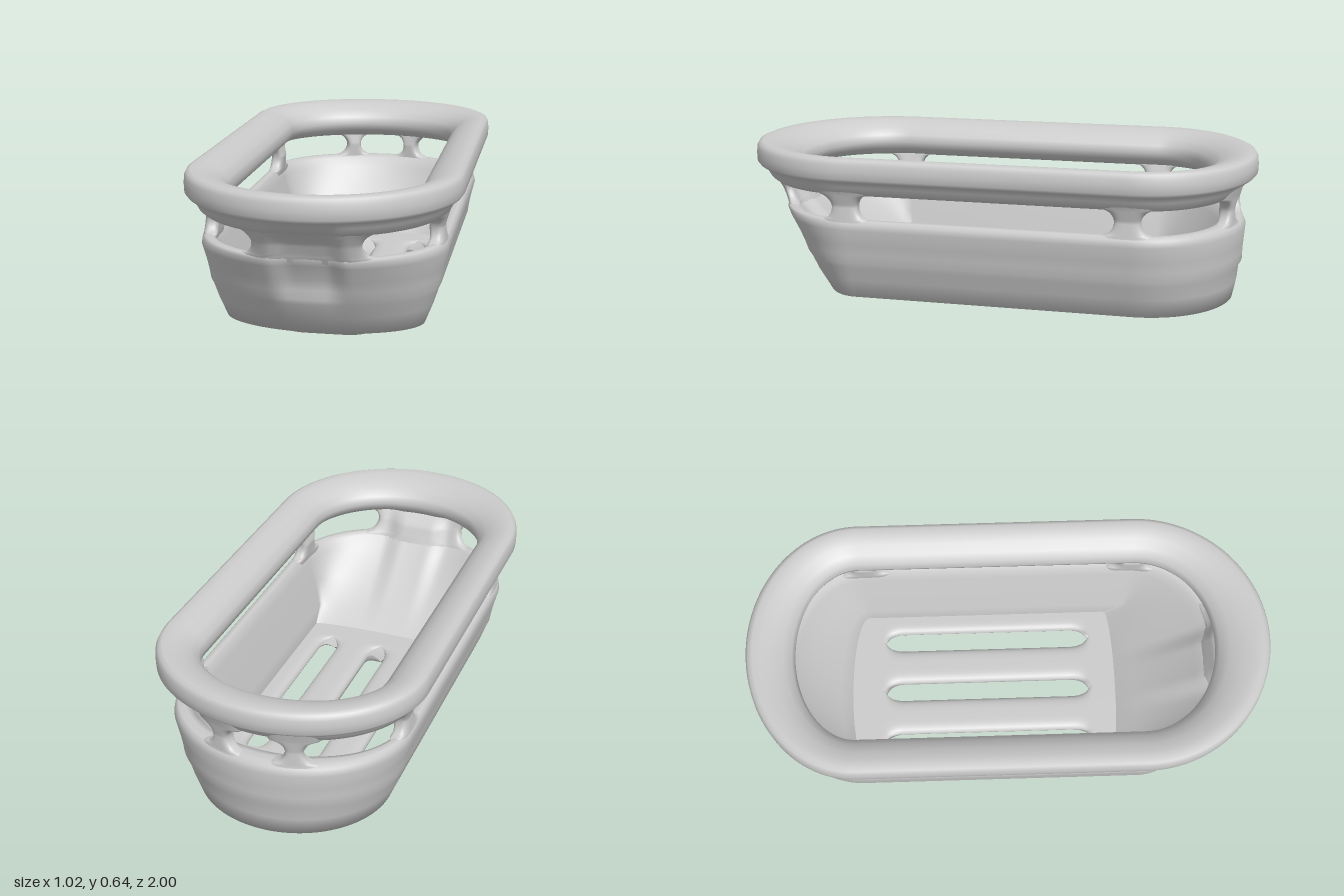
import * as THREE from 'three';

const { lerp, clamp, smoothstep } = THREE.MathUtils;
const material = new THREE.MeshStandardMaterial({ color: 0xcccccc, side: THREE.DoubleSide });

// Surface over an i/j grid; either direction may wrap round
function surface(name, nI, nJ, point, wrapI, wrapJ) {
  const pos = [], index = [];
  for (let i = 0; i < nI; i++) for (let j = 0; j < nJ; j++) pos.push(...point(i, j));
  for (let i = 0; i < (wrapI ? nI : nI - 1); i++) {
    for (let j = 0; j < (wrapJ ? nJ : nJ - 1); j++) {
      const i2 = (i + 1) % nI, j2 = (j + 1) % nJ;
      const a = i * nJ + j, b = i2 * nJ + j, c = i2 * nJ + j2, d = i * nJ + j2;
      index.push(a, b, c, a, c, d);
    }
  }
  const g = new THREE.BufferGeometry();
  g.setAttribute('position', new THREE.Float32BufferAttribute(pos, 3));
  g.setIndex(index);
  g.computeVertexNormals();
  const mesh = new THREE.Mesh(g, material);
  mesh.name = name;
  return mesh;
}

// Oblong outline: u 0-.25 left side, .25-.5 back arc, .5-.75 right side, .75-1 front arc
function plan(u, [y, hw, zf, zb]) {
  u = ((u % 1) + 1) % 1;
  const sf = Math.min(0.5, zf - 0.03), sb = Math.max(-0.58, zb + 0.06);
  const t = (u % 0.25) * 4, a = t * Math.PI;
  if (u < 0.25) return [hw, y, lerp(sf, sb, t)];
  if (u < 0.5) return [hw * Math.cos(a), y, sb + (zb - sb) * Math.sin(a)];
  if (u < 0.75) return [-hw, y, lerp(sb, sf, t)];
  const x = -hw * Math.cos(a);
  // scoop in the middle of the front
  const scoop = (1 - smoothstep(Math.abs(x), 0.06, 0.145))
    * smoothstep(y, 0.18, 0.32) * (1 - smoothstep(y, 0.44, 0.55));
  return [x, y, sf + (zf - sf) * Math.sin(a) - 0.04 * scoop];
}

// Outer skin: height, half width, front z, back z
const HULL = [
  [0.075, 0.37, 0.69, -0.92], [0.15, 0.40, 0.745, -0.935], [0.205, 0.418, 0.775, -0.94],
  [0.225, 0.427, 0.79, -0.952], [0.26, 0.432, 0.805, -0.952], [0.30, 0.44, 0.825, -0.955],
  [0.36, 0.455, 0.86, -0.96], [0.39, 0.449, 0.875, -0.948], [0.45, 0.442, 0.905, -0.945],
  [0.50, 0.457, 0.935, -0.953], [0.555, 0.48, 0.965, -0.968],
];
function hull(y, inset) {
  let k = 0;
  while (k < HULL.length - 2 && y > HULL[k + 1][0]) k++;
  const p = HULL[k], q = HULL[k + 1], t = clamp((y - p[0]) / (q[0] - p[0]), 0, 1);
  return [y, lerp(p[1], q[1], t) - inset, lerp(p[2], q[2], t) - inset, lerp(p[3], q[3], t) + inset];
}

// Ring swept round the outline from a closed section
const ring = (name, section) => surface(name, 320, section.length,
  (i, j) => plan(i / 320, section[j]), true, true);

// Post between openings, flared into the sill and the rim
function post(name, uc, hw) {
  const y0 = 0.37, y1 = 0.54, r = 0.05, n = 48, rows = 29;
  const pow = (v) => Math.sign(v) * Math.abs(v) ** 0.6;
  return surface(name, n, rows, (i, j) => {
    const a = i / n * Math.PI * 2, y = lerp(y0, y1, j / (rows - 1));
    const d = clamp(Math.min(y - 0.395, 0.495 - y) / r, 0, 1);
    const w = hw + 0.22 * r * (1 - Math.sqrt(1 - (1 - d) ** 2));
    return plan(uc - w * pow(Math.cos(a)), hull(y, 0.029 - 0.027 * pow(Math.sin(a))));
  }, true, false);
}

// Underside of the floor, deepest near both ends and fading to the hull edge
const DEPTH = [[-0.92, 0], [-0.64, 0.075], [-0.4, 0.045], [0.22, 0.042], [0.46, 0.075], [0.69, 0]];
function underside(x, z, half) {
  let k = 0;
  while (k < DEPTH.length - 2 && z > DEPTH[k + 1][0]) k++;
  const [p, q] = [DEPTH[k], DEPTH[k + 1]];
  const depth = lerp(p[1], q[1], smoothstep(z, p[0], q[0]));
  return 0.075 - depth * (1 - smoothstep(Math.abs(x), half * 0.22, half + 0.0001));
}

// Upper or lower face of a lengthwise floor strip; strips meet except along the slots
function floorStrip(k, top) {
  const rows = 160, n = 17, slotR = 0.038;
  const edges = [-1, -0.22, 0, 0.22, 1];
  return surface(top ? 'floorTop' : 'floorUnderside', n, rows, (i, j) => {
    const z = lerp(-0.92, 0.69, j / (rows - 1));
    const e = z > 0.5 ? (z - 0.5) / 0.19 : z < -0.58 ? (z + 0.58) / 0.34 : 0;
    const half = 0.37 * Math.sqrt(Math.max(0, 1 - e * e));
    const d = clamp(Math.min(z + 0.51, 0.34 - z) / (slotR * 2), 0, 1);
    const w = slotR * Math.sqrt(1 - (1 - d) ** 2);
    const left = clamp(edges[k] + (k > 0 ? w : 0), -half, half);
    const right = clamp(edges[k + 1] - (k < 3 ? w : 0), -half, half);
    const q = (top ? 1 : -1) * Math.cos(i / (n - 1) * Math.PI);
    const x = lerp(left, right, (q + 1) / 2);
    const slotSide = (q < 0 && k > 0) || (q > 0 && k < 3);
    const round = slotSide ? lerp(1, Math.sqrt(1 - q ** 4), w / slotR) : 1;
    return [x, lerp(0.075, top ? 0.1 : underside(x, z, half), round), z];
  }, false, false);
}

export function createModel() {
  const model = new THREE.Group();
  model.name = 'basket';

  // Tub wall: outside up, over the sill, inside down to the floor
  model.add(ring('tubWall', [
    ...HULL.slice(0, 7),
    [0.385, 0.45, 0.873, -0.95], [0.396, 0.44, 0.868, -0.935], [0.398, 0.42, 0.845, -0.9],
    [0.388, 0.405, 0.82, -0.87], [0.35, 0.393, 0.785, -0.85], [0.25, 0.367, 0.66, -0.78],
    [0.15, 0.342, 0.52, -0.69], [0.1, 0.33, 0.445, -0.645], [0.088, 0.34, 0.445, -0.65],
  ]));

  // Rim: height and inset of a thick tube with an upright outer band
  const rim = [[0.492, 0.09], [0.495, 0.065], [0.508, 0.05], [0.53, 0.038], [0.548, 0.028],
    [0.556, 0.01], [0.568, 0.001], [0.595, 0], [0.622, 0.002], [0.638, 0.01], [0.645, 0.025],
    [0.642, 0.055], [0.632, 0.09], [0.612, 0.125], [0.585, 0.15], [0.555, 0.158],
    [0.525, 0.148], [0.502, 0.12]];
  model.add(ring('rim', rim.map(([y, d]) => [y, 0.508 - d, 1 - d * (1 + 1.8 * d), -1 + d * 1.15])));

  // Posts: one broad front panel, four corner posts, two slim back ribs
  model.add(post('frontPanel', 0.875, 0.038));
  for (const s of [-1, 1]) {
    model.add(post('frontCornerPost', 0.875 + s * 0.123, 0.0115));
    model.add(post('backCornerPost', 0.375 + s * 0.128, 0.0115));
    model.add(post('backRib', 0.375 + s * 0.026, 0.006));
  }

  // Slotted floor
  const floor = new THREE.Group();
  floor.name = 'floor';
  for (let k = 0; k < 4; k++) floor.add(floorStrip(k, true), floorStrip(k, false));
  model.add(floor);
  return model;
}
